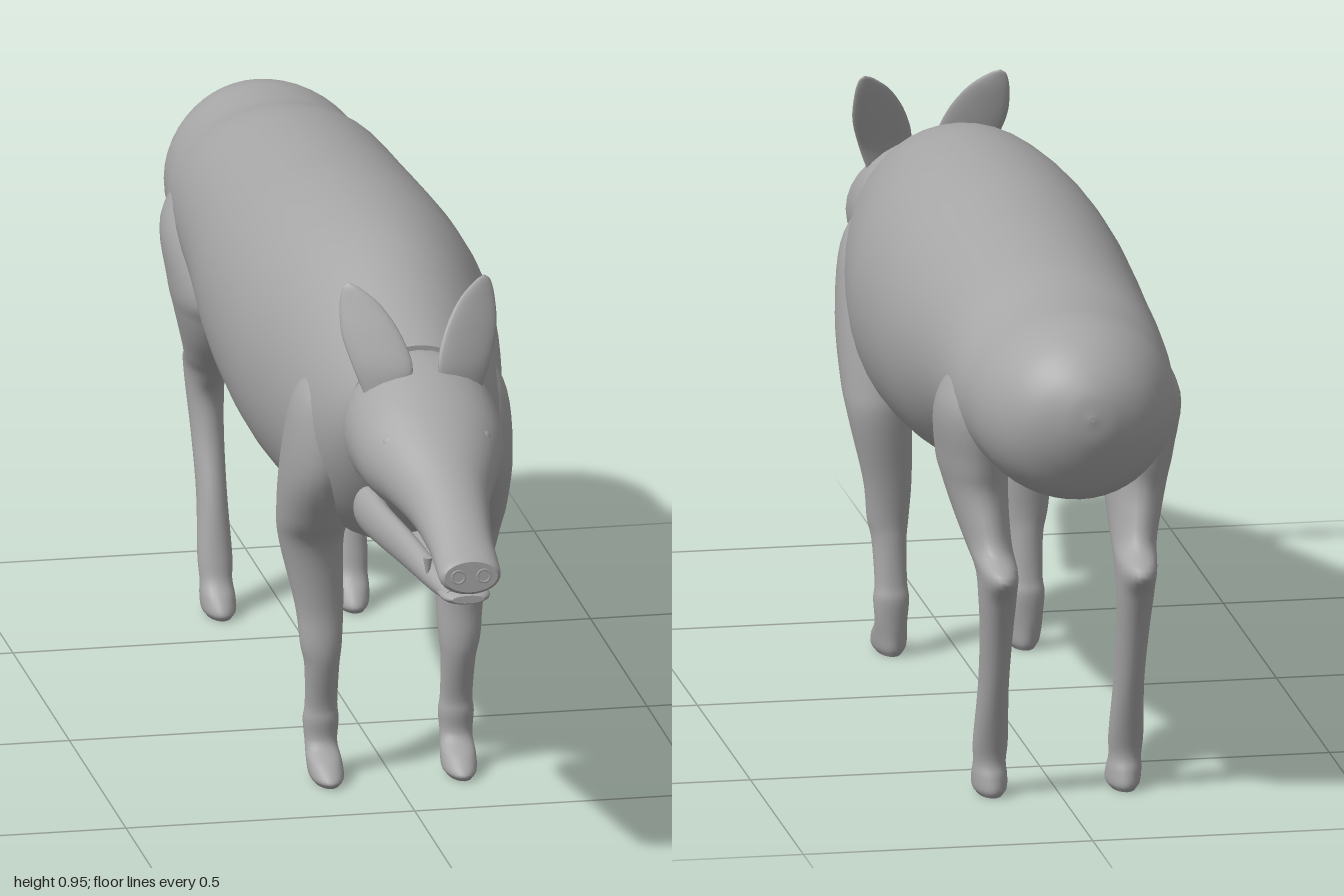
import * as THREE from 'three';

const hide = new THREE.MeshStandardMaterial({ color: 0xa6a6a6 });
hide.name = 'hide grey';

// Smooth loft through elliptical sections [cx, cy, cz, r1, r2];
// rings lie across z (r1 = x, r2 = y) or across y (r1 = x, r2 = z), listed in ascending order.
function loft(sections, axis, steps = 6, sides = 32) {
  const centre = new THREE.CatmullRomCurve3(sections.map(s => new THREE.Vector3(s[0], s[1], s[2])), false, 'catmullrom', 0.5);
  const radius = new THREE.CatmullRomCurve3(sections.map(s => new THREE.Vector3(s[3], s[4], 0)), false, 'catmullrom', 0.5);
  const rings = (sections.length - 1) * steps;
  const pos = [], index = [];
  const addRing = t => {
    const c = centre.getPoint(t), r = radius.getPoint(t);
    const start = pos.length / 3;
    for (let j = 0; j < sides; j++) {
      const a = (j / sides) * Math.PI * 2;
      const u = Math.cos(a) * Math.max(r.x, 0.001), v = Math.sin(a) * Math.max(r.y, 0.001);
      if (axis === 'z') pos.push(c.x + u, c.y + v, c.z);
      else pos.push(c.x + u, c.y, c.z - v);
    }
    return start;
  };
  for (let i = 0; i <= rings; i++) addRing(i / rings);
  for (let i = 0; i < rings; i++) {
    for (let j = 0; j < sides; j++) {
      const a = i * sides + j, b = i * sides + (j + 1) % sides;
      index.push(a, b, a + sides, b, b + sides, a + sides);
    }
  }
  // End caps with their own vertices, so the rim stays crisp
  for (const t of [0, 1]) {
    const start = addRing(t), c = centre.getPoint(t), mid = pos.length / 3;
    pos.push(c.x, c.y, c.z);
    for (let j = 0; j < sides; j++) {
      const a = start + j, b = start + (j + 1) % sides;
      if (t) index.push(mid, a, b); else index.push(mid, b, a);
    }
  }
  const g = new THREE.BufferGeometry();
  g.setAttribute('position', new THREE.Float32BufferAttribute(pos, 3));
  g.setIndex(index);
  g.computeVertexNormals();
  return g;
}

// Profile [z, top, bottom, halfWidth] to loft section
const profile = rows => rows.map(([z, top, bottom, w]) => [0, (top + bottom) / 2, z, w, (top - bottom) / 2]);

// Mirror section centres to the other side
const sided = (rows, s) => rows.map(([x, ...rest]) => [x * s, ...rest]);

export function createModel() {
  const model = new THREE.Group();
  model.name = 'animal';
  const add = (name, geometry, parent = model) => {
    const m = new THREE.Mesh(geometry, hide);
    m.name = name;
    parent.add(m);
    return m;
  };

  // Barrel body ending in a round rump
  add('body', loft(profile([
    [-1.0, 0.745, 0.735, 0.005], [-0.992, 0.785, 0.69, 0.047], [-0.965, 0.825, 0.635, 0.1],
    [-0.92, 0.86, 0.585, 0.14], [-0.85, 0.88, 0.563, 0.17], [-0.77, 0.883, 0.562, 0.182],
    [-0.71, 0.888, 0.56, 0.19], [-0.61, 0.91, 0.54, 0.197], [-0.45, 0.925, 0.505, 0.208],
    [-0.28, 0.938, 0.46, 0.223], [-0.12, 0.95, 0.435, 0.23], [0.05, 0.953, 0.42, 0.228],
    [0.2, 0.945, 0.417, 0.208], [0.32, 0.915, 0.428, 0.187], [0.4, 0.885, 0.46, 0.168],
    [0.47, 0.858, 0.52, 0.145], [0.525, 0.838, 0.585, 0.122],
  ]), 'z', 6, 48));

  // Long tapering head
  const head = new THREE.Group();
  head.name = 'head';
  model.add(head);
  add('skull', loft(profile([
    [0.48, 0.82, 0.57, 0.118], [0.53, 0.83, 0.565, 0.13], [0.58, 0.82, 0.575, 0.132],
    [0.65, 0.79, 0.58, 0.125], [0.72, 0.752, 0.585, 0.1], [0.8, 0.706, 0.575, 0.071],
    [0.9, 0.652, 0.56, 0.056], [0.965, 0.618, 0.546, 0.054], [0.99, 0.606, 0.54, 0.053],
    [1.0, 0.6, 0.546, 0.046],
  ]), 'z'), head);
  add('lowerJaw', loft([
    [0, 0.54, 0.66, 0.06, 0.012], [0, 0.533, 0.76, 0.052, 0.013], [0, 0.527, 0.88, 0.045, 0.014],
    [0, 0.525, 0.95, 0.042, 0.014], [0, 0.525, 0.975, 0.028, 0.007],
  ], 'z'), head);

  const jawArm = [
    [0.085, 0.56, 0.508, 0.01, 0.014], [0.087, 0.558, 0.525, 0.024, 0.034], [0.086, 0.557, 0.555, 0.026, 0.04],
    [0.08, 0.553, 0.62, 0.022, 0.036], [0.058, 0.545, 0.75, 0.02, 0.03],
    [0.035, 0.531, 0.88, 0.018, 0.02], [0.022, 0.526, 0.955, 0.014, 0.012],
  ];
  const ear = [
    [0.075, 0.77, 0.58, 0.026, 0.008], [0.07, 0.815, 0.574, 0.048, 0.01], [0.085, 0.87, 0.555, 0.049, 0.01],
    [0.1, 0.918, 0.537, 0.034, 0.008], [0.113, 0.945, 0.528, 0.015, 0.005], [0.117, 0.953, 0.525, 0.002, 0.002],
  ];
  const frontLeg = [
    [0.125, 0.78, 0.36, 0.02, 0.02], [0.128, 0.7, 0.36, 0.058, 0.07], [0.135, 0.58, 0.335, 0.064, 0.1],
    [0.136, 0.48, 0.295, 0.062, 0.078], [0.135, 0.42, 0.272, 0.055, 0.055], [0.122, 0.31, 0.275, 0.042, 0.034],
    [0.12, 0.24, 0.282, 0.036, 0.03], [0.118, 0.2, 0.28, 0.03, 0.028], [0.117, 0.13, 0.268, 0.028, 0.022],
    [0.117, 0.1, 0.265, 0.031, 0.025], [0.117, 0.06, 0.267, 0.028, 0.024], [0.116, 0.035, 0.288, 0.03, 0.043],
    [0.115, 0.012, 0.303, 0.029, 0.056], [0.115, 0, 0.303, 0.021, 0.05],
  ].reverse();
  const hindLeg = [
    [0.13, 0.8, -0.68, 0.03, 0.03], [0.143, 0.7, -0.67, 0.066, 0.1], [0.143, 0.6, -0.635, 0.06, 0.12],
    [0.138, 0.55, -0.64, 0.054, 0.105], [0.132, 0.5, -0.662, 0.046, 0.093], [0.125, 0.45, -0.7, 0.038, 0.077],
    [0.12, 0.415, -0.748, 0.034, 0.086], [0.119, 0.37, -0.75, 0.032, 0.05], [0.118, 0.3, -0.733, 0.028, 0.035],
    [0.117, 0.2, -0.7, 0.026, 0.033], [0.117, 0.1, -0.672, 0.03, 0.026], [0.117, 0.06, -0.662, 0.028, 0.027],
    [0.116, 0.035, -0.655, 0.03, 0.042], [0.115, 0.012, -0.65, 0.029, 0.052], [0.115, 0, -0.65, 0.021, 0.046],
  ].reverse();

  for (const s of [1, -1]) {
    const side = s > 0 ? 'left' : 'right';
    add(side + 'FrontLeg', loft(sided(frontLeg, s), 'y', 5, 24));
    add(side + 'HindLeg', loft(sided(hindLeg, s), 'y', 5, 24));
    add(side + 'JawArm', loft(sided(jawArm, s), 'z', 5, 20), head);

    // Leaf-shaped ear, its outer edge swept back
    const earGeometry = loft(sided(ear, s), 'y', 5, 24);
    const p = earGeometry.attributes.position;
    for (let i = 0; i < p.count; i++) p.setZ(i, p.getZ(i) - (Math.abs(p.getX(i)) - 0.085) * 0.35);
    earGeometry.computeVertexNormals();
    add(side + 'Ear', earGeometry, head);

    // Eye
    const eye = add(side + 'Eye', new THREE.SphereGeometry(0.0145, 16, 12), head);
    eye.position.set(s * 0.08, 0.72, 0.69);

    // Small tusk pointing down over the jaw
    const tusk = add(side + 'Tusk', new THREE.ConeGeometry(0.008, 0.045, 10), head);
    tusk.position.set(s * 0.05, 0.548, 0.87);
    tusk.rotation.x = Math.PI;

    // Nostril rim
    const nostril = add(side + 'Nostril', new THREE.TorusGeometry(0.011, 0.003, 8, 20), head);
    nostril.position.set(s * 0.022, 0.574, 0.998);
  }
  return model;
}
